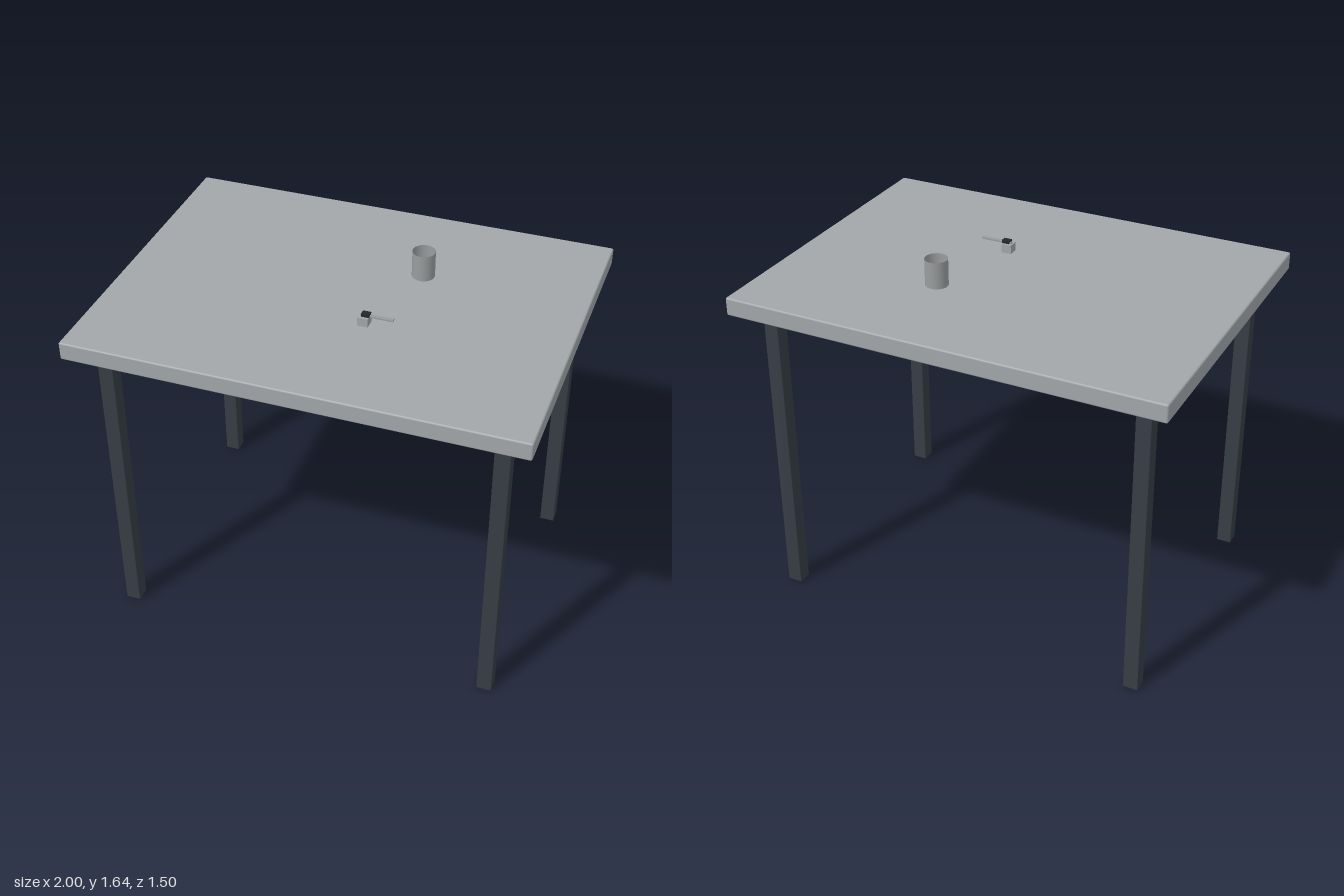
import * as THREE from 'three';
import { RoundedBoxGeometry } from 'three/addons/geometries/RoundedBoxGeometry.js';

const mat = (name, color, side = THREE.FrontSide) =>
  Object.assign(new THREE.MeshStandardMaterial({ color, side }), { name });

export function createModel() {
  const model = new THREE.Group();
  model.name = 'labTable';
  const grey = mat('worktop grey', 0xa2a6a9);
  const dark = mat('leg charcoal', 0x363d43);
  const steel = mat('cup grey', 0x999c9e, THREE.DoubleSide);
  const black = mat('clip black', 0x25282b);

  const add = (name, geometry, material, x, y, z) => {
    const mesh = new THREE.Mesh(geometry, material);
    mesh.name = name;
    mesh.position.set(x, y, z);
    model.add(mesh);
    return mesh;
  };

  // Worktop with slightly softened edges
  const top = 1.52;
  add('tabletop', new RoundedBoxGeometry(2, 0.083, 1.5, 2, 0.008), grey, 0, top - 0.0415, 0);

  // Four square legs
  const legHeight = 1.437;
  const leg = new RoundedBoxGeometry(0.068, legHeight, 0.068, 1, 0.003);
  for (const sx of [-1, 1]) {
    for (const sz of [-1, 1]) add('leg', leg, dark, sx * 0.862, legHeight / 2, sz * 0.602);
  }

  // Thin-walled open cup with a floor
  const cup = [[0, 0.002], [0.051, 0.002], [0.051, 0.002], [0.051, 0.124]];
  add('cup', new THREE.LatheGeometry(cup.map(([r, y]) => new THREE.Vector2(r, y)), 40),
    steel, 0.26, top, -0.243);

  // Small block with a lever held under a dark clip
  add('leverBlock', new THREE.BoxGeometry(0.047, 0.04, 0.047), grey, 0.138, top + 0.02, 0.197);
  add('lever', new THREE.BoxGeometry(0.145, 0.007, 0.018), steel, 0.194, top + 0.0435, 0.197);
  add('leverClip', new THREE.BoxGeometry(0.036, 0.014, 0.028), black, 0.146, top + 0.048, 0.197);

  return model;
}
